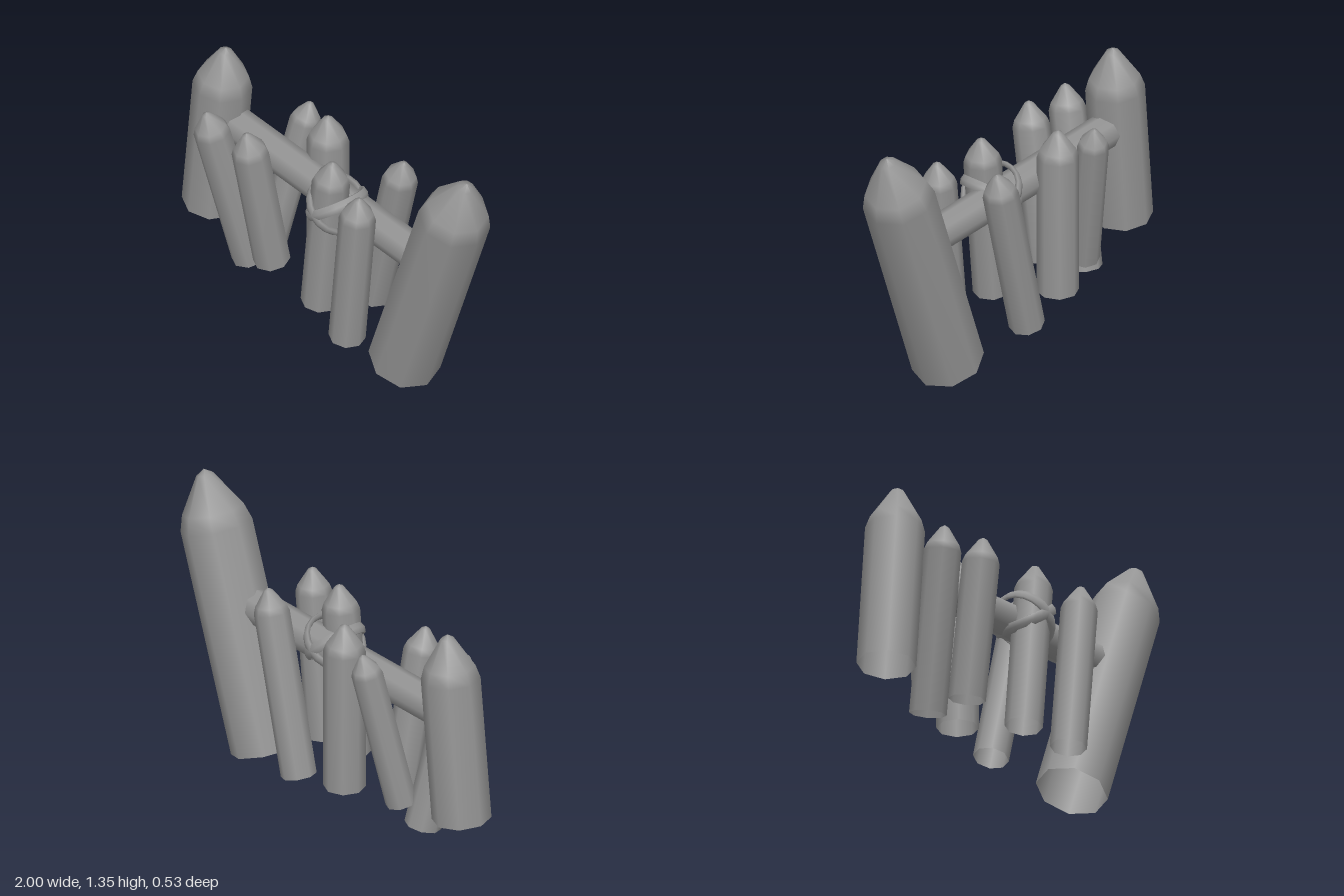
import * as THREE from 'three';

// The logs are open underneath, so both faces are drawn
const material = new THREE.MeshStandardMaterial({ color: 0x959595, side: THREE.DoubleSide });
const SIDES = 8;

// Sharpened log standing on the local origin, aimed from its foot to its tip
function stake(name, foot, tip, r, point = 0.88) {
  const base = new THREE.Vector3(...foot);
  const axis = new THREE.Vector3(...tip).sub(base);
  const len = axis.length();
  const profile = [
    [r, 0],
    [r, len - 1.6 * r * point],
    [0.86 * r, len - 1.15 * r * point],
    [0.24 * r, len - 0.15 * r * point],
    [0, len],
  ].map(([x, y]) => new THREE.Vector2(x, y));

  const log = new THREE.Mesh(new THREE.LatheGeometry(profile, SIDES), material);
  log.name = name;
  log.position.copy(base);
  log.quaternion.setFromUnitVectors(new THREE.Vector3(0, 1, 0), axis.normalize());
  return log;
}

export function createModel() {
  const model = new THREE.Group();
  model.name = 'palisadeFence';

  // Large end posts
  model.add(stake('rightEndPost', [-0.86, 0.23, 0], [-0.77, 1.17, -0.01], 0.14, 1));
  model.add(stake('leftEndPost', [0.475, 0.058, -0.045], [0.925, 1.35, -0.045], 0.172, 1));

  // Small stakes on both faces of the rail: foot, tip, radius
  const stakes = [
    ['frontStake1', [-0.578, 0.073, 0.005], [-0.67, 0.95, 0.195], 0.088],
    ['frontStake2', [-0.362, 0.205, 0.055], [-0.392, 0.985, 0.185], 0.088],
    ['frontStake3', [0.008, 0.19, 0.075], [0.095, 1.045, 0.07], 0.09],
    ['frontStake4', [0.263, 0.155, 0.125], [0.35, 1.01, 0.125], 0.087],
    ['backStake1', [-0.5, 0.185, -0.06], [-0.395, 0.975, -0.21], 0.075],
    ['backStake2', [-0.2, 0.18, -0.15], [-0.2, 1.035, -0.15], 0.1],
    ['backStake3', [0.077, 0.135, -0.192], [0.298, 1.035, -0.192], 0.085],
  ];
  for (const s of stakes) model.add(stake(...s));

  // Cross rail, its ends buried in the end posts
  const rail = new THREE.Mesh(new THREE.CylinderGeometry(0.085, 0.085, 1.42, SIDES).rotateZ(Math.PI / 2), material);
  rail.name = 'crossRail';
  rail.position.set(-0.06, 0.757, -0.02);
  model.add(rail);

  // Crossed flat rope bands lashing the middle stake to the rail
  const lashing = new THREE.Group();
  lashing.name = 'ropeLashing';
  for (const tilt of [0.83, -0.95]) {
    const band = new THREE.Mesh(
      new THREE.TorusGeometry(0.142, 0.013, 6, 20).scale(1, 1, 2.2).rotateY(Math.PI / 2), material);
    band.name = 'ropeBand';
    band.rotation.z = tilt;
    lashing.add(band);
  }
  lashing.position.set(0.072, 0.768, 0.025);
  model.add(lashing);

  return model;
}
